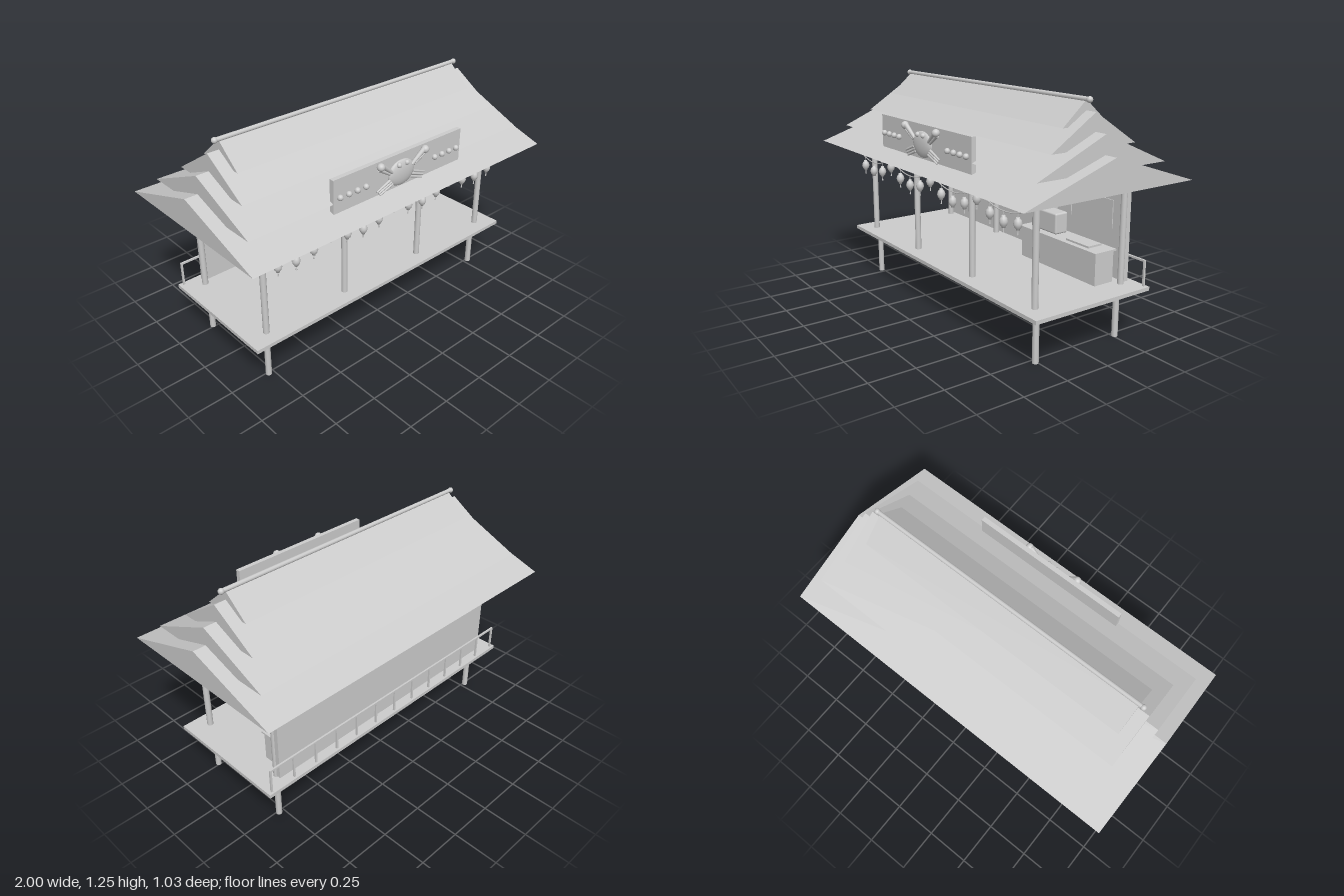
import * as THREE from 'three';
import { RoundedBoxGeometry } from 'three/addons/geometries/RoundedBoxGeometry.js';

export function createModel() {
  const model = new THREE.Group();
  model.name = 'crabStall';
  const grey = new THREE.MeshStandardMaterial({ color: 0xcccccc });
  grey.name = 'plainGrey';

  function add(geometry, name, x = 0, y = 0, z = 0, parent = model) {
    const mesh = new THREE.Mesh(geometry, grey);
    mesh.name = name;
    mesh.position.set(x, y, z);
    parent.add(mesh);
    return mesh;
  }
  // Box given by its lower and upper limits
  function box(name, x0, x1, y0, y1, z0, z1, parent) {
    return add(new THREE.BoxGeometry(x1 - x0, y1 - y0, z1 - z0), name,
      (x0 + x1) / 2, (y0 + y1) / 2, (z0 + z1) / 2, parent);
  }
  // Round bar between two points
  function bar(name, a, b, r0, r1, parent, sides = 10) {
    const from = new THREE.Vector3(...a), to = new THREE.Vector3(...b);
    const dir = to.clone().sub(from);
    const mesh = add(new THREE.CylinderGeometry(r1, r0, dir.length(), sides), name, 0, 0, 0, parent);
    mesh.position.copy(from).add(to).multiplyScalar(0.5);
    mesh.quaternion.setFromUnitVectors(new THREE.Vector3(0, 1, 0), dir.normalize());
    return mesh;
  }
  const ball = (name, r, x, y, z, parent) =>
    add(new THREE.SphereGeometry(r, 16, 12), name, x, y, z, parent);

  // Platform on four stilts
  box('platform', -0.905, 0.905, 0.265, 0.285, -0.362, 0.362);
  for (const x of [-0.78, 0.78]) for (const z of [-0.26, 0.26])
    bar('stilt', [x, 0, z], [x, 0.27, z], 0.0165, 0.0165, model, 8);

  // Roof posts, front and back
  for (const x of [-0.79, -0.275, 0.275, 0.79]) for (const z of [-0.275, 0.277])
    bar('roofPost', [x, 0.285, z], [x, 0.84, z], 0.0165, 0.0165, model, 12);

  // Back wall with hanging menu sheets
  box('backWall', -0.79, 0.8, 0.295, 0.812, -0.314, -0.288);
  for (let i = -2; i <= 2; i++)
    box('menuSheet', i * 0.31 - 0.086, i * 0.31 + 0.086, 0.553, 0.7, -0.289, -0.283);

  // Stacked gable roof: half length, eave height, ridge height, half depth
  const tiers = [
    [1.0, 0.83, 1.0, 0.515],
    [0.93, 0.925, 1.095, 0.392],
    [0.86, 1.02, 1.185, 0.257],
    [0.795, 1.115, 1.235, 0.138],
  ];
  for (const [length, eave, ridge, depth] of tiers) {
    const gable = new THREE.Shape([
      new THREE.Vector2(-depth, eave), new THREE.Vector2(depth, eave), new THREE.Vector2(0, ridge),
    ]);
    const geometry = new THREE.ExtrudeGeometry(gable, { depth: 2 * length, bevelEnabled: false });
    geometry.translate(0, 0, -length);
    geometry.rotateY(Math.PI / 2);
    add(geometry, 'roofTier');
  }
  bar('ridgePole', [-0.815, 1.236, 0], [0.815, 1.236, 0], 0.012, 0.012);
  for (const x of [-0.815, 0.815]) ball('ridgeEnd', 0.0155, x, 1.236, 0);

  // Back railing
  const railing = new THREE.Group();
  railing.name = 'railing';
  model.add(railing);
  box('topRail', -0.885, 0.885, 0.412, 0.422, -0.35, -0.34, railing);
  for (let i = 0; i <= 12; i++) {
    const x = -0.88 + i * 0.1467;
    box('railPost', x - 0.005, x + 0.005, 0.285, 0.415, -0.35, -0.34, railing);
  }

  // Counter with a cooker and a tray
  box('counter', 0.155, 0.745, 0.285, 0.45, -0.262, -0.14);
  box('counterTop', 0.145, 0.755, 0.45, 0.46, -0.272, -0.13);
  add(new RoundedBoxGeometry(0.205, 0.115, 0.084, 2, 0.01), 'cooker', 0.308, 0.52, -0.207);
  box('tray', 0.5, 0.67, 0.46, 0.47, -0.25, -0.16);

  // Lantern string in four swags
  const ropeZ = 0.355, span = 0.4325;
  const ropeY = x => {
    const t = ((x + 2 * span) % span) / span;
    return 0.797 - 0.062 * 4 * t * (1 - t);
  };
  const ropePoints = [];
  for (let i = 0; i <= 48; i++) {
    const x = -2 * span + i * span / 12;
    ropePoints.push(new THREE.Vector3(x, i % 12 ? ropeY(x) : 0.797, ropeZ));
  }
  add(new THREE.TubeGeometry(new THREE.CatmullRomCurve3(ropePoints), 96, 0.003, 5), 'lanternRope');

  const lanternProfile = [[0, -0.03], [0.009, -0.03], [0.009, -0.025], [0.017, -0.017], [0.022, 0],
    [0.017, 0.017], [0.009, 0.025], [0.009, 0.03], [0, 0.03]].map(p => new THREE.Vector2(...p));
  const lanternBody = new THREE.LatheGeometry(lanternProfile, 14);
  for (let i = -7; i <= 7; i++) {
    const x = i * 0.108, top = i === 0 ? 0.797 : ropeY(x);
    const lantern = new THREE.Group();
    lantern.name = 'lantern';
    lantern.position.set(x, top - 0.05, ropeZ);
    model.add(lantern);
    add(lanternBody, 'lanternBody', 0, 0, 0, lantern);
    bar('lanternCord', [0, 0.028, 0], [0, 0.05, 0], 0.002, 0.002, lantern, 5);
    bar('tassel', [0, -0.053, 0], [0, -0.029, 0], 0.004, 0.002, lantern, 6);
  }

  // Sign board with bulbs
  box('signBoard', -0.445, 0.445, 0.87, 1.052, 0.367, 0.393);
  for (const side of [-1, 1]) for (const x of [0.243, 0.298, 0.353, 0.408])
    ball('signBulb', 0.0155, side * x, 0.953, 0.4);

  // Crab on the sign
  const crab = new THREE.Group();
  crab.name = 'crab';
  model.add(crab);
  ball('crabShell', 1, 0, 0.948, 0.396, crab).scale.set(0.092, 0.07, 0.02);
  for (const s of [-1, 1]) {
    ball('eye', 0.014, s * 0.027, 0.998, 0.408, crab);
    bar('clawArm', [s * 0.07, 0.97, 0.402], [s * 0.148, 1.035, 0.41], 0.009, 0.014, crab);
    bar('clawPincer', [s * 0.085, 0.965, 0.402], [s * 0.165, 1.018, 0.408], 0.007, 0.01, crab);
    ball('claw', 0.021, s * 0.155, 1.03, 0.41, crab);
    for (let i = 0; i < 3; i++)
      bar('crabLeg', [s * (0.082 - i * 0.01), 0.928 - i * 0.012, 0.4],
        [s * (0.17 - i * 0.011), 0.894 - i * 0.012, 0.4], 0.008, 0.005, crab, 8);
  }
  return model;
}
